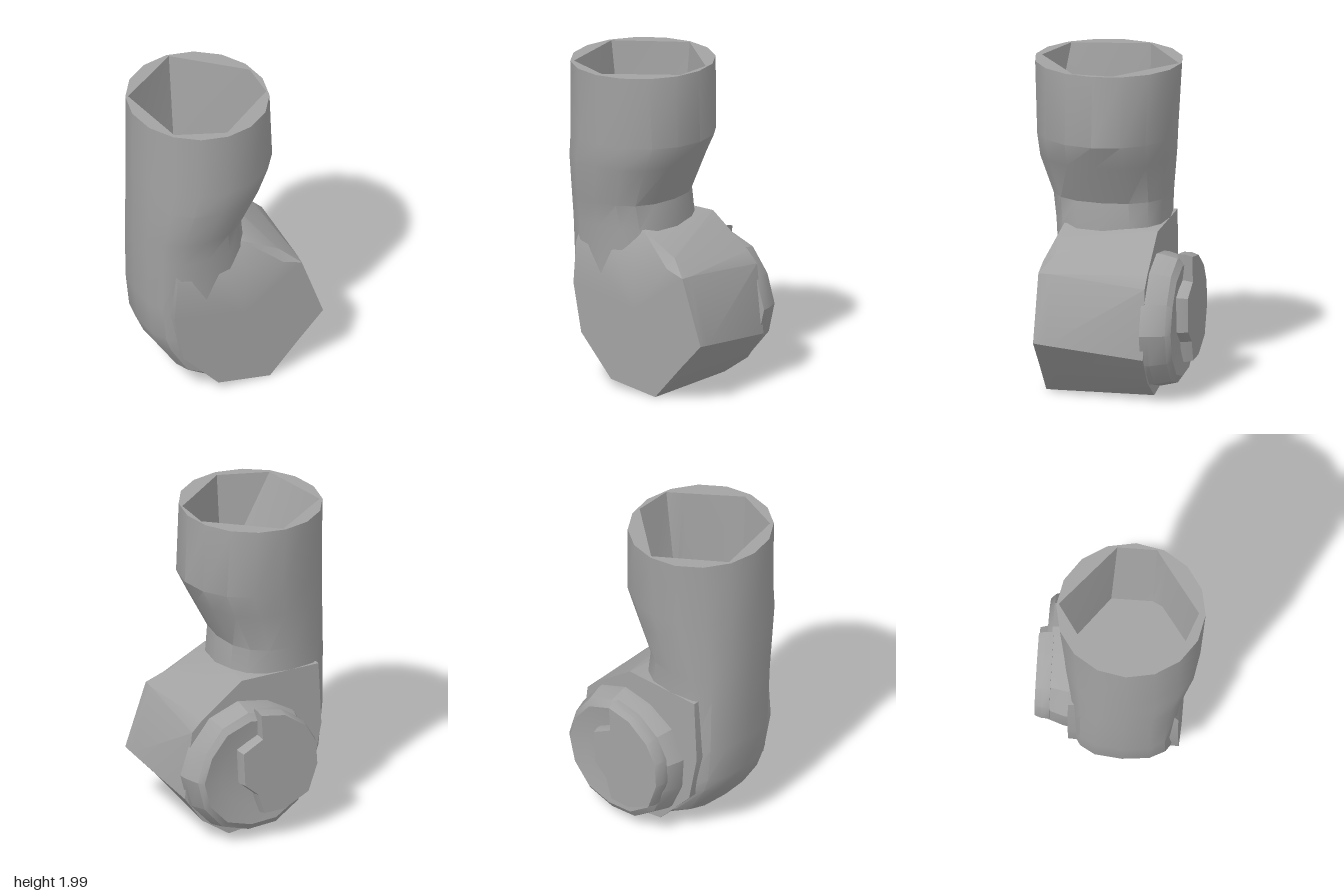
import * as THREE from 'three';
import { toCreasedNormals } from 'three/addons/utils/BufferGeometryUtils.js';

const grey = new THREE.MeshStandardMaterial({ color: 0xa3a3a3 });
grey.name = 'plain grey';

// Skin between rings of equal point count, optionally closed at either end
function loft(rings, capStart, capEnd, inward = false) {
  const tris = [];
  const n = rings[0].length;
  const fan = (ring, reverse) => {
    const c = ring.reduce((s, p) => s.add(p), new THREE.Vector3()).divideScalar(n);
    ring.forEach((p, i) => {
      const q = ring[(i + 1) % n];
      tris.push(reverse ? [c, q, p] : [c, p, q]);
    });
  };
  for (let r = 0; r < rings.length - 1; r++) {
    for (let i = 0; i < n; i++) {
      const j = (i + 1) % n;
      const a = rings[r][i], b = rings[r][j], c = rings[r + 1][j], d = rings[r + 1][i];
      tris.push([a, b, c], [a, c, d]);
    }
  }
  if (capStart) fan(rings[0], true);
  if (capEnd) fan(rings[rings.length - 1], false);

  // Turn every face the same way, outward or inward
  const mid = rings.flat().reduce((s, p) => s.add(p), new THREE.Vector3()).divideScalar(n * rings.length);
  const rel = (p) => p.clone().sub(mid);
  const volume = tris.reduce((s, [a, b, c]) => s + rel(a).dot(rel(b).cross(rel(c))), 0);
  const flip = (volume < 0) !== inward;
  const points = tris.flatMap(([a, b, c]) => (flip ? [a, c, b] : [a, b, c]));
  const geometry = new THREE.BufferGeometry().setFromPoints(points);
  return toCreasedNormals(geometry, 0.5);
}

// Rounded horizontal section filling the given bounds
function section([y, x0, x1, z0, z1, power]) {
  const sides = 16;
  return Array.from({ length: sides }, (_, i) => {
    const a = (i / sides) * Math.PI * 2;
    const bend = (v) => Math.sign(v) * Math.pow(Math.abs(v), 2 / power);
    return new THREE.Vector3(
      (x0 + x1) / 2 + bend(Math.cos(a)) * (x1 - x0) / 2, y,
      (z0 + z1) / 2 + bend(Math.sin(a)) * (z1 - z0) / 2);
  });
}

const atZ = (z, pts) => pts.map(([x, y]) => new THREE.Vector3(x, y, z));
const atY = (y, pts) => pts.map(([x, z]) => new THREE.Vector3(x, y, z));

export function createModel() {
  const group = new THREE.Group();
  const add = (name, geometry) => {
    const mesh = new THREE.Mesh(geometry, grey);
    mesh.name = name;
    group.add(mesh);
  };

  // Upright sleeve, narrowing at the waist and rounding under at its foot
  const sleeve = [
    [1.99, -0.56, 0.30, -0.39, 0.51, 2],
    [1.55, -0.56, 0.315, -0.36, 0.49, 2.1],
    [1.40, -0.555, 0.235, -0.345, 0.48, 2.2],
    [1.15, -0.55, 0.105, -0.31, 0.41, 2.4],
    [1.00, -0.545, 0.12, -0.30, 0.385, 2.6],
    [0.65, -0.535, 0.12, -0.295, 0.362, 2.8],
    [0.42, -0.51, 0.12, -0.295, 0.36, 2.8],
    [0.33, -0.475, 0.12, -0.295, 0.36, 2.8],
    [0.15, -0.35, 0.14, -0.29, 0.36, 3],
    [0.05, -0.13, 0.15, -0.29, 0.355, 4],
  ].map(section);
  add('sleeve', loft(sleeve, false, true));

  // Flat rim around the many-sided opening
  const hole = [[-0.12, -0.375], [-0.51, -0.11], [-0.42, 0.36], [-0.12, 0.47],
    [0.18, 0.25], [0.265, 0.19], [0.265, -0.05]];
  const rimShape = new THREE.Shape(sleeve[0].map((p) => new THREE.Vector2(p.x, -p.z)));
  rimShape.holes.push(new THREE.Path(hole.map(([x, z]) => new THREE.Vector2(x, -z))));
  add('sleeveRim', new THREE.ShapeGeometry(rimShape).rotateX(-Math.PI / 2).translate(0, 1.99, 0));

  // Hollow inside of the sleeve with its floor
  const floor = [[-0.12, -0.30], [-0.44, -0.12], [-0.29, 0.2], [-0.13, 0.43],
    [0.14, 0.23], [0.17, 0.17], [0.17, -0.08]];
  add('sleeveInside', loft([atY(1.99, hole), atY(1.35, floor)], false, true, true));

  // Faceted elbow drum lying front to back, chamfered along its top front edge
  const drumLeft = [[-0.42, 0.6], [-0.36, 0.3]];
  add('elbowDrum', loft([
    atZ(0.365, [[-0.13, 0.05], [0.21, 0], [0.4, 0.21], [0.56, 0.38], [0.42, 0.78],
      [0.3, 0.82], [0.05, 0.85], [-0.1, 0.86], [-0.4, 0.86], ...drumLeft]),
    atZ(0.29, [[-0.13, 0.05], [0.21, 0], [0.4, 0.2], [0.555, 0.37], [0.425, 0.78],
      [0.3, 0.87], [0.06, 1.0], [-0.1, 1.0], [-0.4, 1.0], ...drumLeft]),
    atZ(-0.3, [[-0.13, 0.05], [0.21, 0.005], [0.39, 0.13], [0.51, 0.3], [0.46, 0.73],
      [0.39, 0.8], [0.12, 1.0], [-0.1, 1.0], [-0.4, 1.0], ...drumLeft]),
  ], true, true));

  // Stepped round cap on the back of the drum
  const capRing = (z, rx, ry, cx = 0.1) => Array.from({ length: 13 }, (_, i) => {
    const a = (i / 13) * Math.PI * 2;
    const wobble = 1 - 0.03 * (i % 3 === 1);
    return new THREE.Vector3(cx + Math.cos(a) * rx * wobble, 0.455 + Math.sin(a) * ry * wobble, z);
  });
  add('backCap', loft([
    capRing(-0.28, 0.43, 0.42), capRing(-0.33, 0.425, 0.42), capRing(-0.43, 0.39, 0.395),
    capRing(-0.46, 0.36, 0.35), capRing(-0.44, 0.2, 0.2, 0.14),
  ], true, true));

  // Raised plate with a notched edge on the cap
  const plate = [[-0.28, 0.45], [-0.22, 0.28], [-0.06, 0.2], [0.08, 0.2], [0.12, 0.33], [0.21, 0.41],
    [0.22, 0.62], [0.09, 0.69], [0.1, 0.85], [-0.06, 0.82], [-0.2, 0.72], [-0.27, 0.6]];
  const spread = plate.map(([x, y]) => [x * 1.05, 0.5 + (y - 0.5) * 1.04]);
  add('capPlate', loft([atZ(-0.42, spread), atZ(-0.47, spread), atZ(-0.51, plate)], true, true));

  return group;
}
